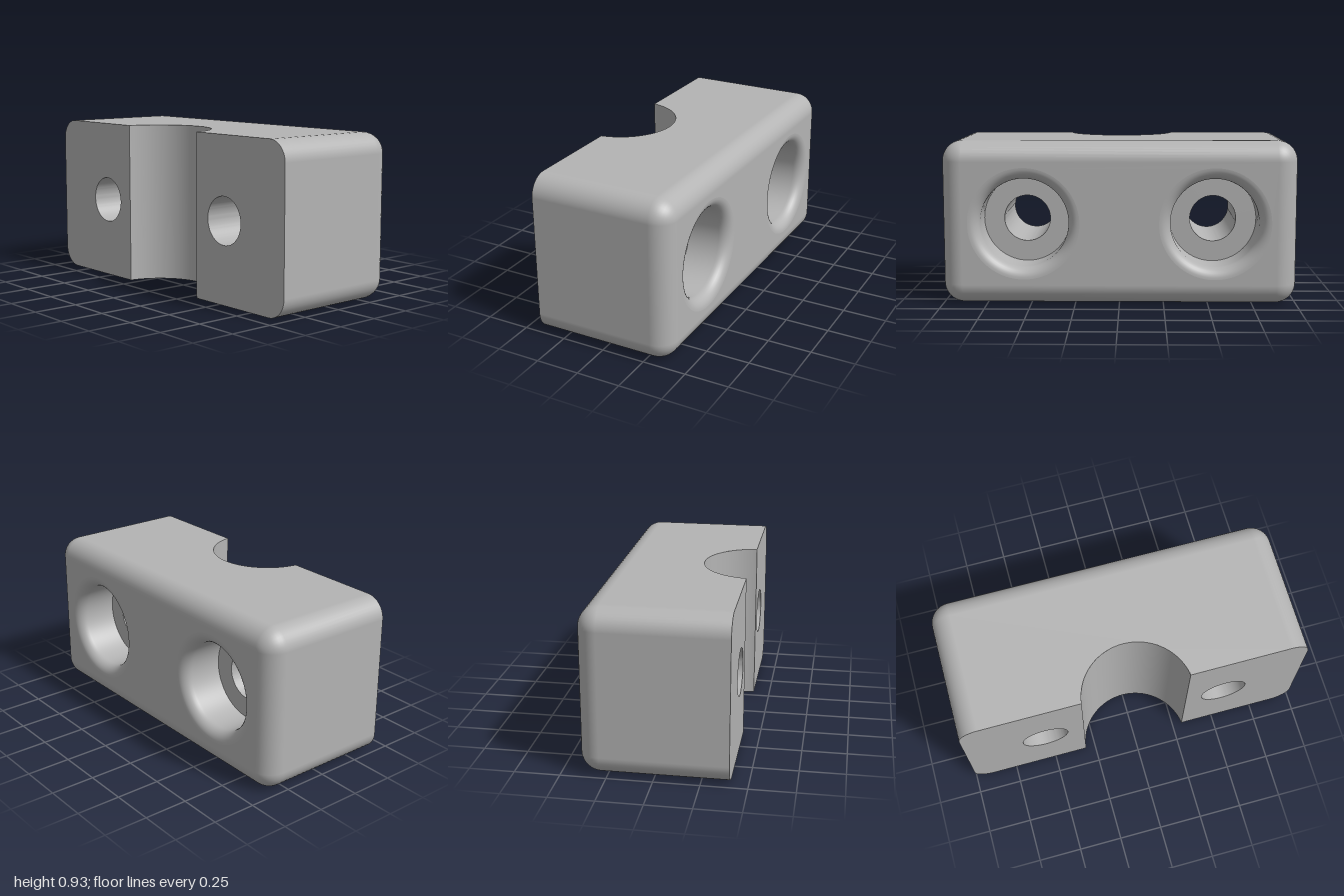
import * as THREE from 'three';
import { toCreasedNormals } from 'three/addons/utils/BufferGeometryUtils.js';

const W = 1, H = 0.4625, D = 0.403;            // half sizes of the block
const R = 0.115;                               // rounded edge radius
const CX = W - R, CY = H - R, CZ = -D + R;     // centres of the rounded edges
const GR = 0.31, GZ = 0.44;                    // groove radius and axis position
const GA = Math.asin((GZ - D) / GR), GX = GR * Math.cos(GA);
const HX = 0.537, HR = 0.133;                  // screw hole position and radius
const BR = 0.25, BF = 0.065, FLOOR = -0.153;   // counterbore radius, rim fillet, floor

// Grid surface: f(u, v) gives a point and its normal; triangles follow the normal
function patch(us, vs, f) {
  const pos = [], nor = [], idx = [];
  for (const u of us) for (const v of vs) {
    const [p, n] = f(u, v);
    pos.push(...p);
    nor.push(...n);
  }
  const vec = (arr, i) => new THREE.Vector3().fromArray(arr, i * 3);
  const tri = (a, b, c) => {
    const face = vec(pos, b).sub(vec(pos, a)).cross(vec(pos, c).sub(vec(pos, a)));
    idx.push(...(face.dot(vec(nor, a)) < 0 ? [a, c, b] : [a, b, c]));
  };
  const m = vs.length;
  for (let i = 0; i < us.length - 1; i++) for (let j = 0; j < m - 1; j++) {
    const a = i * m + j;
    tri(a, a + 1, a + m);
    tri(a + 1, a + m + 1, a + m);
  }
  const g = new THREE.BufferGeometry();
  g.setAttribute('position', new THREE.Float32BufferAttribute(pos, 3));
  g.setAttribute('normal', new THREE.Float32BufferAttribute(nor, 3));
  g.setIndex(idx);
  return g;
}

const range = (a, b, n) => Array.from({ length: n + 1 }, (_, i) => a + (b - a) * i / n);

function addHole(shape, x, r) {
  shape.holes.push(new THREE.Path().absarc(x, 0, r, 0, Math.PI * 2, true));
}

export function createModel() {
  const model = new THREE.Group();
  model.name = 'clampBlock';
  const body = new THREE.Group();
  body.name = 'body';
  body.position.y = H;
  model.add(body);
  const grey = new THREE.MeshStandardMaterial({ color: 0xb4b4b4, side: THREE.DoubleSide });
  grey.name = 'grey';
  const add = (name, geometry, turn = 0) => {
    const mesh = new THREE.Mesh(geometry, grey);
    mesh.name = name;
    mesh.rotation.z = turn;
    body.add(mesh);
  };

  // Rounded rim around the back: corner angles, each with its core corner
  const rim = [];
  for (let q = 0; q < 4; q++) {
    const sx = q === 0 || q === 3 ? 1 : -1, sy = q < 2 ? 1 : -1;
    for (const t of range(q * Math.PI / 2, (q + 1) * Math.PI / 2, 10)) rim.push([t, sx * CX, sy * CY]);
  }
  rim.push(rim[0]);
  add('backRoundedEdge', patch(range(0, Math.PI / 2, 10), rim, (a, [t, x, y]) => {
    const n = [Math.cos(t) * Math.sin(a), Math.sin(t) * Math.sin(a), -Math.cos(a)];
    return [[x + R * n[0], y + R * n[1], CZ + R * n[2]], n];
  }));

  // Flat back with openings for the counterbores
  const back = new THREE.Shape();
  back.moveTo(-CX, -CY).lineTo(CX, -CY).lineTo(CX, CY).lineTo(-CX, CY).closePath();
  for (const s of [-1, 1]) addHole(back, s * HX, BR + BF);
  const backFace = new THREE.ShapeGeometry(back, 48);
  backFace.rotateY(Math.PI).translate(0, 0, -D);
  add('backFace', backFace);

  // Top and bottom panels, notched by the groove
  const panel = new THREE.Shape();
  panel.moveTo(-CX, -D).lineTo(-GX, -D);
  panel.absarc(0, -GZ, GR, Math.PI - GA, GA, true);
  panel.lineTo(CX, -D).lineTo(CX, -CZ).lineTo(-CX, -CZ).closePath();
  const panelGeometry = new THREE.ShapeGeometry(panel, 48);
  panelGeometry.rotateX(-Math.PI / 2).translate(0, H, 0);

  // End wall wrapping round the two corners
  const endLine = rim.slice(33, 44).concat(rim.slice(0, 11));
  const endWall = patch([CZ, D], endLine, (z, [t, x, y]) => {
    const n = [Math.cos(t), Math.sin(t), 0];
    return [[x + R * n[0], y + R * n[1], z], n];
  });

  // Front face beside the groove, with a screw hole
  const front = new THREE.Shape();
  front.moveTo(GX, -H).lineTo(CX, -H);
  front.absarc(CX, -CY, R, -Math.PI / 2, 0, false);
  front.absarc(CX, CY, R, 0, Math.PI / 2, false);
  front.lineTo(GX, H).closePath();
  addHole(front, HX, HR);
  const frontFace = new THREE.ShapeGeometry(front, 48);
  frontFace.translate(0, 0, D);

  // Screw hole, counterbore floor, wall and filleted lip
  const profile = [[HR, D], [HR, FLOOR], [BR, FLOOR]];
  for (const a of range(0, Math.PI / 2, 8)) {
    profile.push([BR + BF * (1 - Math.cos(a)), -D + BF * (1 - Math.sin(a))]);
  }
  const lathe = new THREE.LatheGeometry(profile.map(p => new THREE.Vector2(...p)), 96);
  lathe.rotateX(Math.PI / 2).translate(HX, 0, 0);
  const bore = toCreasedNormals(lathe, 0.6);

  // Each side is the other turned half round
  for (const [turn, side, level] of [[0, 'left', 'top'], [Math.PI, 'right', 'bottom']]) {
    add(level + 'Panel', panelGeometry, turn);
    add(side + 'EndWall', endWall, turn);
    add(side + 'FrontFace', frontFace, turn);
    add(side + 'ScrewHole', bore, turn);
  }

  // Round groove down the front
  add('groove', patch(range(GA, Math.PI - GA, 48), [-H, H], (a, y) => [
    [GR * Math.cos(a), y, GZ - GR * Math.sin(a)],
    [-Math.cos(a), 0, Math.sin(a)],
  ]));

  return model;
}
